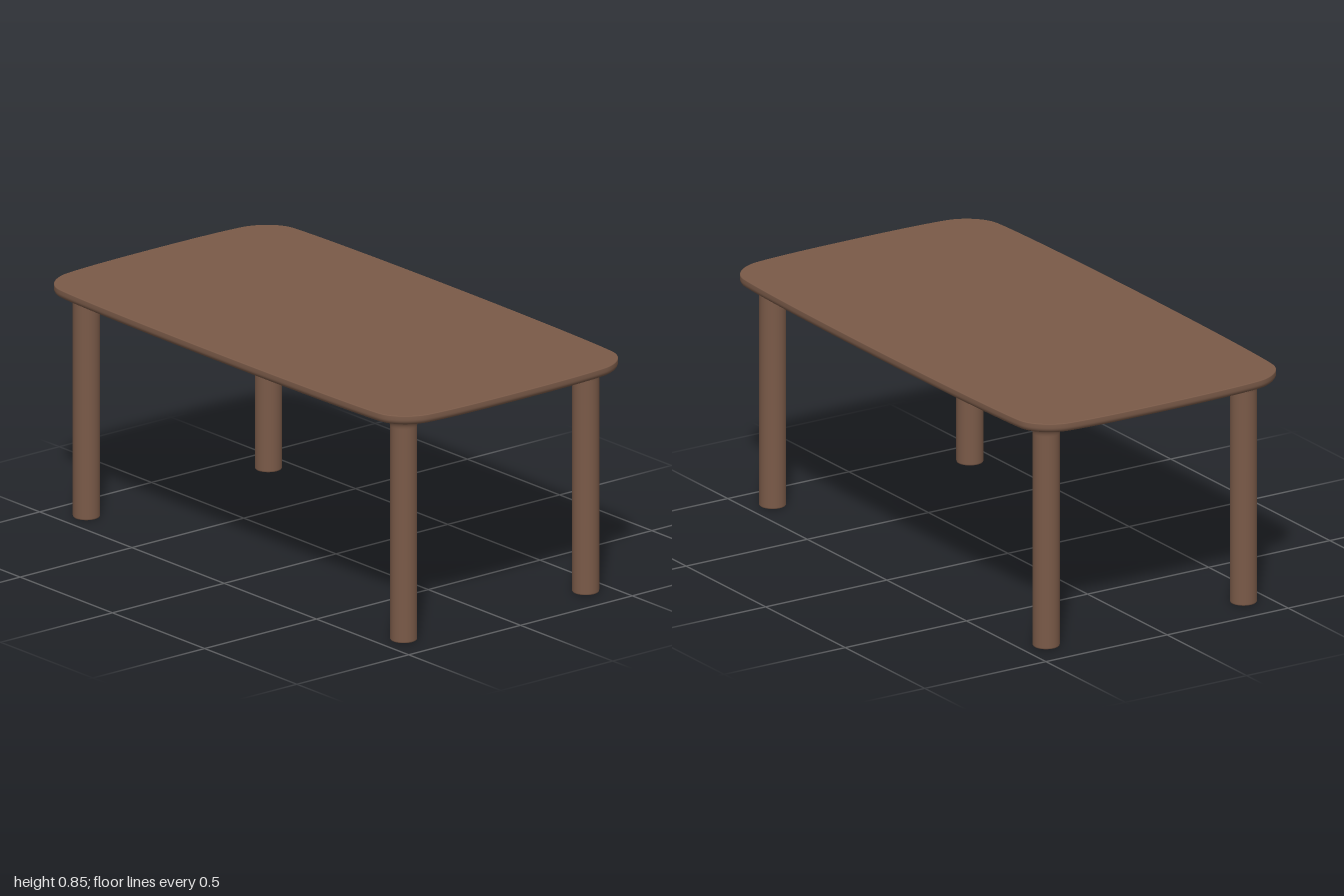
import * as THREE from 'three';

const wood = new THREE.MeshStandardMaterial({ color: 0x7a5a48 });
wood.name = 'brown wood';

// One quarter of the softly bowed tabletop outline, mirrored into a closed loop
function tabletopOutline() {
  const quarter = new THREE.Path();
  quarter.moveTo(1, 0);
  quarter.bezierCurveTo(1, 0.2, 0.995, 0.33, 0.985, 0.4);
  quarter.bezierCurveTo(0.975, 0.455, 0.93, 0.512, 0.875, 0.523);
  quarter.bezierCurveTo(0.83, 0.532, 0.5, 0.543, 0, 0.543);
  const q = quarter.getPoints(14);
  const half = [...q, ...q.slice(0, -1).reverse().map(p => new THREE.Vector2(-p.x, p.y))];
  return [...half, ...half.slice(1, -1).reverse().map(p => new THREE.Vector2(p.x, -p.y))];
}

// Sweep an edge profile of [inset, height] around the outline, then cap both faces
function createTabletopGeometry() {
  const outline = tabletopOutline();
  const n = outline.length;
  const normals = outline.map((p, i) => {
    const t = outline[(i + 1) % n].clone().sub(outline[(i + n - 1) % n]).normalize();
    return new THREE.Vector2(t.y, -t.x);
  });
  const profile = [];
  for (let i = 0; i <= 6; i++) {
    const a = (i / 6) * Math.PI / 2;
    profile.push([0.02 * (1 - Math.sin(a)), 0.815 + 0.02 * (1 - Math.cos(a))]);
  }
  profile.push([0, 0.847], [0.001, 0.849], [0.003, 0.85]);

  const positions = [], index = [];
  const addRing = ([inset, y]) => outline.forEach((p, i) =>
    positions.push(p.x - normals[i].x * inset, y, p.y - normals[i].y * inset));
  profile.forEach(addRing);
  for (let r = 0; r < profile.length - 1; r++) {
    for (let i = 0; i < n; i++) {
      const a = r * n + i, b = r * n + (i + 1) % n;
      index.push(a, a + n, b, b, a + n, b + n);
    }
  }
  // Caps own their vertices so the flat faces stay crisp
  for (const [ring, up] of [[profile[0], false], [profile[profile.length - 1], true]]) {
    const start = positions.length / 3;
    addRing(ring);
    positions.push(0, ring[1], 0);
    for (let i = 0; i < n; i++) {
      const a = start + i, b = start + (i + 1) % n, c = start + n;
      index.push(...(up ? [a, c, b] : [a, b, c]));
    }
  }
  const geometry = new THREE.BufferGeometry();
  geometry.setAttribute('position', new THREE.Float32BufferAttribute(positions, 3));
  geometry.setIndex(index);
  geometry.computeVertexNormals();
  return geometry;
}

const lathe = points =>
  new THREE.LatheGeometry(points.map(([r, y]) => new THREE.Vector2(r, y)), 40);

export function createModel() {
  const table = new THREE.Group();
  table.name = 'table';

  const tabletop = new THREE.Mesh(createTabletopGeometry(), wood);
  tabletop.name = 'tabletop';
  table.add(tabletop);

  // Round post with a softened foot
  const postGeometry = lathe([
    [0.042, 0], [0.045, 0.001], [0.0465, 0.003], [0.047, 0.006], [0.047, 0.78],
  ]);
  const footGeometry = new THREE.CircleGeometry(0.042, 40).rotateX(Math.PI / 2);

  // Concave collar flaring out to the underside
  const flare = [[0.047, 0.778]];
  for (let i = 0; i <= 10; i++) {
    const a = (i / 10) * Math.PI / 2;
    flare.push([0.047 + 0.036 * (1 - Math.cos(a)), 0.782 + 0.034 * Math.sin(a)]);
  }
  const collarGeometry = lathe(flare);

  for (const x of [-1, 1]) {
    for (const z of [-1, 1]) {
      const leg = new THREE.Group();
      leg.name = `${z > 0 ? 'front' : 'back'}${x > 0 ? 'Left' : 'Right'}Leg`;
      for (const [name, geometry] of [
        ['post', postGeometry], ['foot', footGeometry], ['collar', collarGeometry],
      ]) {
        const mesh = new THREE.Mesh(geometry, wood);
        mesh.name = name;
        leg.add(mesh);
      }
      leg.position.set(x * 0.86, 0, z * 0.407);
      table.add(leg);
    }
  }
  return table;
}
